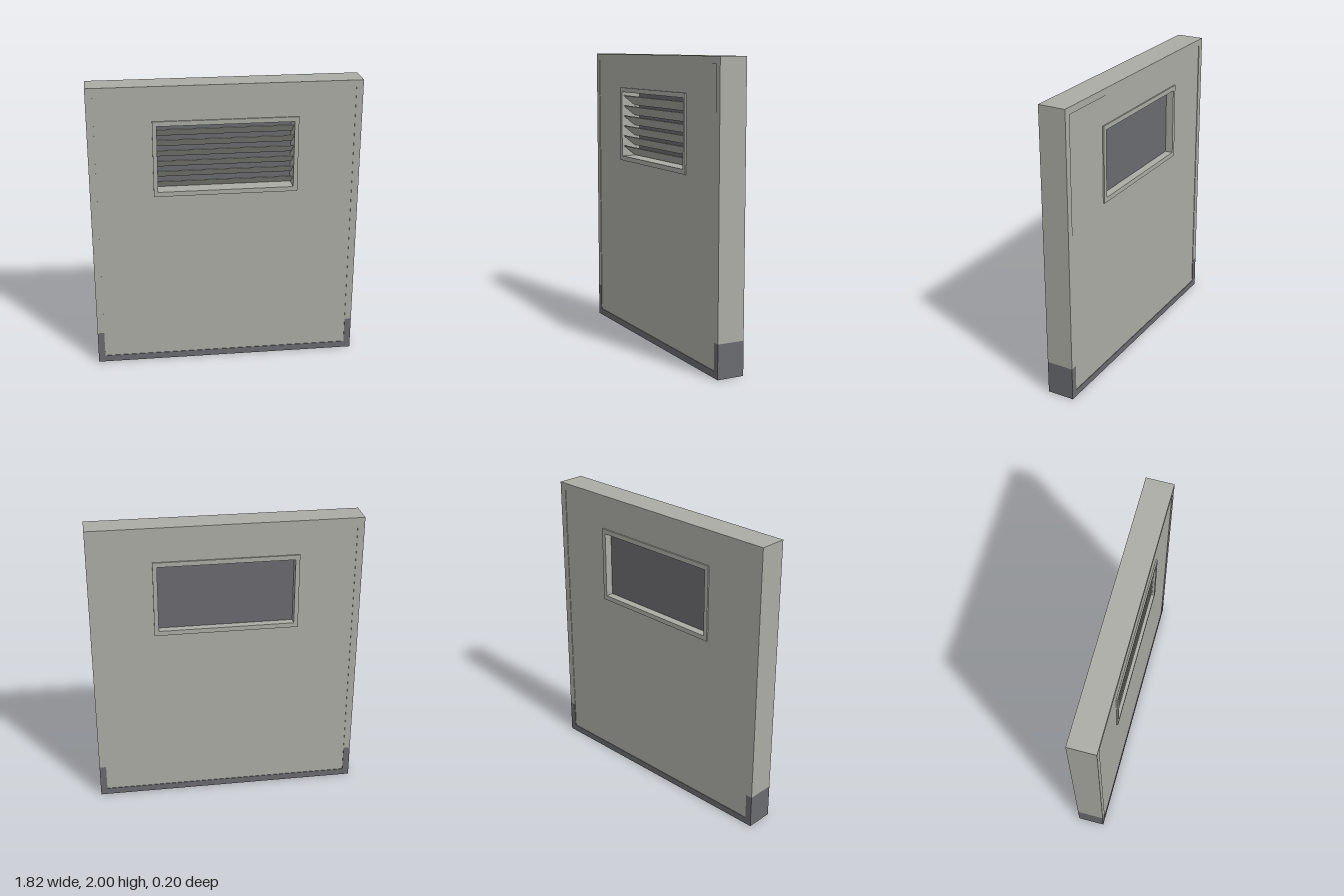
import * as THREE from 'three';

export function createModel() {
  const model = new THREE.Group();
  const wallGrey = new THREE.MeshStandardMaterial({ color: 0xacaca6 });
  wallGrey.name = 'wall grey';
  const darkGrey = new THREE.MeshStandardMaterial({ color: 0x6a6b6f });
  darkGrey.name = 'dark grey';

  const add = (name, geometry, material, x = 0, y = 0, z = 0, parent = model) => {
    const mesh = new THREE.Mesh(geometry, material);
    mesh.name = name;
    mesh.position.set(x, y, z);
    parent.add(mesh);
    return mesh;
  };
  const box = (w, h, d) => new THREE.BoxGeometry(w, h, d);

  const rect = (Type, x, y0, y1) => {
    const path = new Type();
    path.moveTo(-x, y0);
    path.lineTo(x, y0);
    path.lineTo(x, y1);
    path.lineTo(-x, y1);
    path.closePath();
    return path;
  };
  // Rectangular plate with a rectangular hole, centred on z = 0
  const holedPlate = (outer, inner, depth) => {
    const shape = rect(THREE.Shape, ...outer);
    shape.holes.push(rect(THREE.Path, ...inner));
    const geometry = new THREE.ExtrudeGeometry(shape, { depth, bevelEnabled: false });
    return geometry.translate(0, 0, -depth / 2);
  };

  const HALF = 0.908, RIM = 0.046, DEPTH = 0.187, KICK = 0.23;
  const ventOuter = [0.485, 1.243, 1.765];
  const ventInner = [0.456, 1.275, 1.733];

  // Main panel, a hair thinner than the rim around it
  add('panel', holedPlate([HALF - RIM, RIM, 2 - RIM], ventOuter, DEPTH - 0.008), wallGrey);

  // Rim: rails between two stiles with dark feet
  const railWidth = 2 * (HALF - RIM);
  add('topRail', box(railWidth, RIM, DEPTH), wallGrey, 0, 2 - RIM / 2);
  add('bottomRail', box(railWidth, RIM, DEPTH), darkGrey, 0, RIM / 2);
  for (const [side, s] of [['left', 1], ['right', -1]]) {
    const x = s * (HALF - RIM / 2);
    add(side + 'Stile', box(RIM, 2 - KICK, DEPTH), wallGrey, x, (2 + KICK) / 2);
    add(side + 'Foot', box(RIM, KICK, DEPTH), darkGrey, x, KICK / 2);
  }

  // Vent: frame lining the opening, closed by a backing plate
  const vent = new THREE.Group();
  vent.name = 'vent';
  model.add(vent);
  add('ventFrame', holedPlate(ventOuter, ventInner, 0.199), wallGrey, 0, 0, 0, vent);
  add('ventBacking', box(0.912, 0.458, 0.008), darkGrey, 0, 1.504, -0.042, vent);

  // Tilted louvre slats, front edge high
  const slat = box(0.912, 0.006, 0.11);
  for (let i = 0; i < 6; i++) {
    add('slat', slat, wallGrey, 0, 1.674 - i * 0.072, 0.04, vent).rotation.x = -0.663;
  }
  return model;
}
